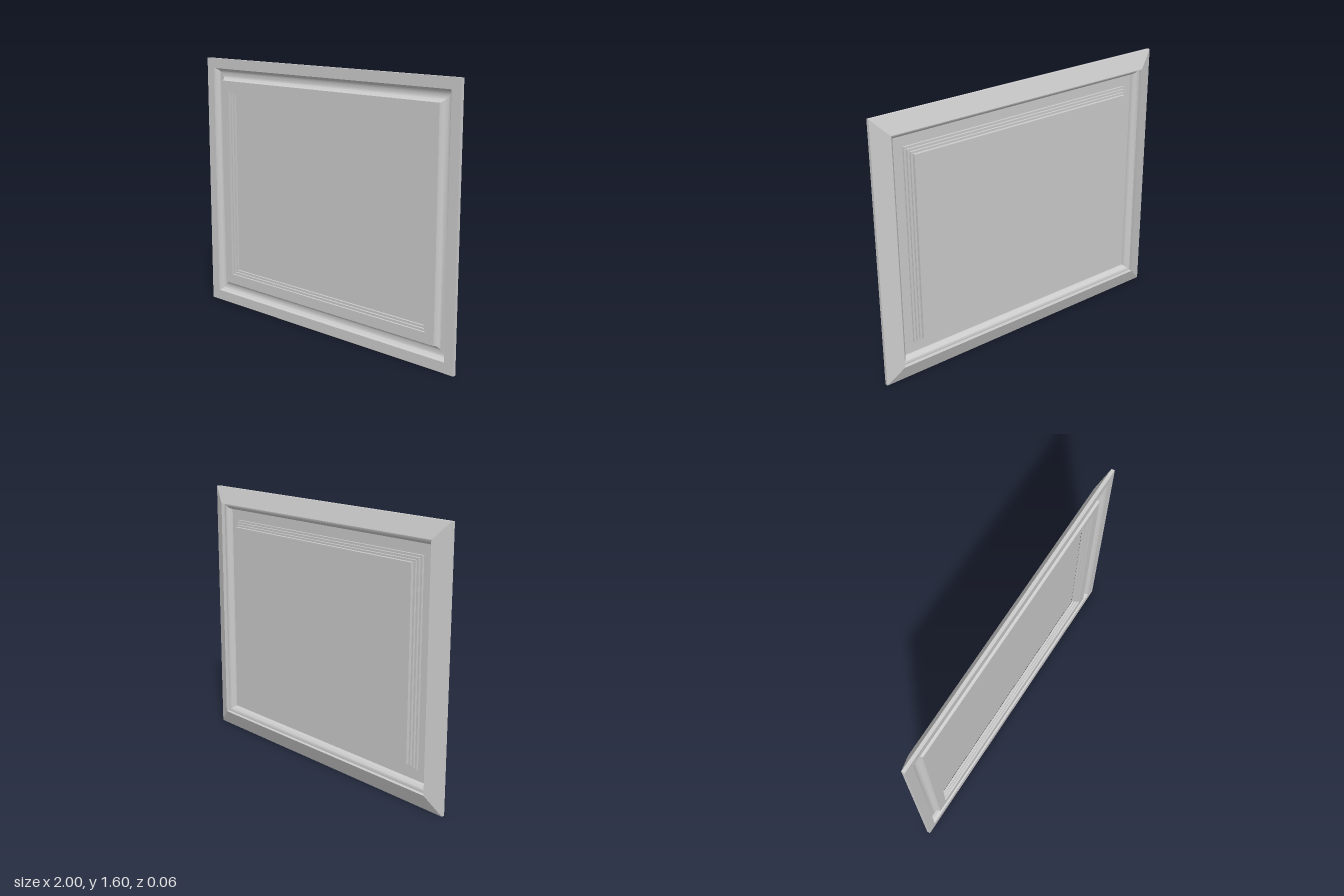
import * as THREE from 'three';
import { toCreasedNormals } from 'three/addons/utils/BufferGeometryUtils.js';

const W = 2, H = 1.6, FRONT = 0.03, BACK = -0.03;
const material = new THREE.MeshStandardMaterial({ color: 0xcccccc, side: THREE.DoubleSide });

// Sweeps a profile of [inset, z] points around the rectangle with mitred corners.
function mouldingGeometry(profile) {
  const positions = [];
  const signs = [[-1, -1], [1, -1], [1, 1], [-1, 1]];
  const corner = (i, [inset, z]) => {
    const [sx, sy] = signs[i % 4];
    return [sx * (W / 2 - inset), H / 2 + sy * (H / 2 - inset), z];
  };
  for (let p = 0; p < profile.length - 1; p++) {
    for (let i = 0; i < 4; i++) {
      const a = corner(i, profile[p]), b = corner(i + 1, profile[p]);
      const c = corner(i + 1, profile[p + 1]), d = corner(i, profile[p + 1]);
      positions.push(...a, ...b, ...c, ...a, ...c, ...d);
    }
  }
  const geometry = new THREE.BufferGeometry();
  geometry.setAttribute('position', new THREE.Float32BufferAttribute(positions, 3));
  return toCreasedNormals(geometry, Math.PI / 6);
}

export function createModel() {
  const group = new THREE.Group();
  group.name = 'framedPanel';
  const add = (name, geometry) => {
    const mesh = new THREE.Mesh(geometry, material);
    mesh.name = name;
    group.add(mesh);
    return mesh;
  };

  // Flat outer border with its thin edge
  add('outerBorder', mouldingGeometry([[0, 0.01], [0, FRONT], [0.063, FRONT]]));

  // Half-round groove, bulging out behind
  const radius = 0.037, cove = [];
  for (let i = 0; i <= 20; i++) {
    const t = Math.PI * i / 20;
    cove.push([0.1 - radius * Math.cos(t), FRONT - radius * Math.sin(t)]);
  }
  add('coveGroove', mouldingGeometry(cove));

  // Flat inner border
  add('innerBorder', mouldingGeometry([[0.137, FRONT], [0.2, FRONT]]));

  // Three small steps down to the panel
  const steps = [[0.2, FRONT]];
  for (let i = 1; i <= 3; i++) {
    const z = FRONT - 0.0125 * i;
    steps.push([0.2 + 0.013 * (i - 1), z], [0.2 + 0.013 * i, z]);
  }
  add('steppedMoulding', mouldingGeometry(steps));

  // Sloped back edge, returning to the bottom of the groove
  add('backBevel', mouldingGeometry([[0.1, FRONT - radius], [0.1, BACK], [0, 0.01]]));

  // Centre panel slab closing the opening
  const inset = 0.237, depth = 0.018;
  const panel = add('centrePanel', new THREE.BoxGeometry(W - 2 * inset, H - 2 * inset, depth));
  panel.position.set(0, H / 2, -0.009 - depth / 2);

  return group;
}
